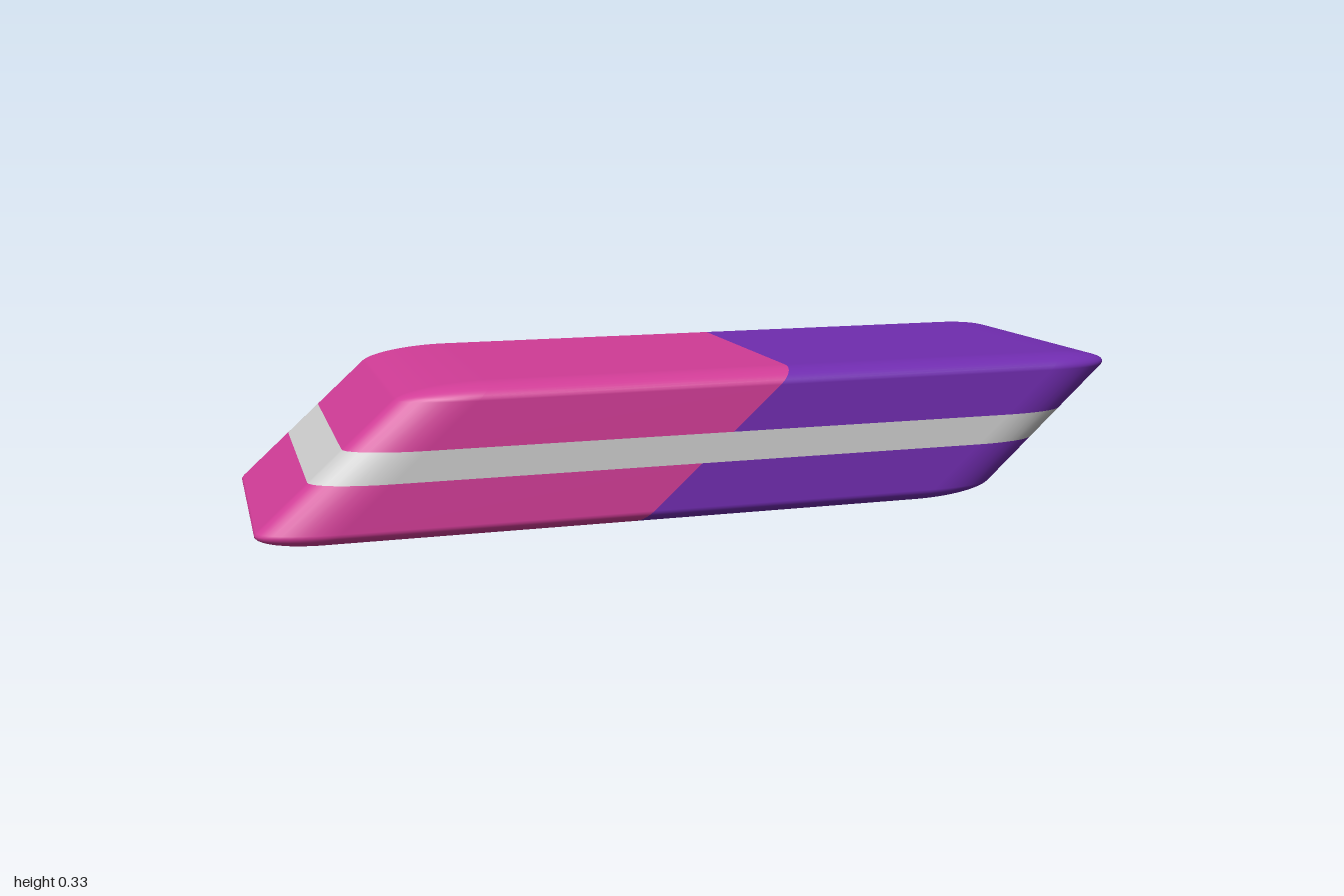
import * as THREE from 'three';

const R = 0.1;            // edge rounding, as a fraction of each side
const STEPS = 10;         // segments per rounded edge
const WIDTH = 0.675, HEIGHT = 0.326, LENGTH = 1.662;

// Unit block -> scaled, slanted lengthwise, turned and set on the ground
function blockMatrix() {
  const slant = new THREE.Matrix4().set(
    1, 0, 0, 0,
    0, 1, 0, 0,
    0, -1.1, 1, 0,
    0, 0, 0, 1);
  return new THREE.Matrix4().makeTranslation(0, HEIGHT / 2, 0)
    .multiply(new THREE.Matrix4().makeRotationY(THREE.MathUtils.degToRad(-25.5)))
    .multiply(slant)
    .multiply(new THREE.Matrix4().makeScale(WIDTH, HEIGHT, LENGTH));
}

// Half outline in plan: [corner x, corner z, angle]
function halfOutline() {
  const c = 0.5 - R, pts = [[c, 0, 0]];
  for (const side of [1, -1]) {
    for (let i = 0; i <= STEPS; i++) {
      pts.push([side * c, c, (i / STEPS + (side > 0 ? 0 : 1)) * Math.PI / 2]);
    }
  }
  pts.push([-c, 0, Math.PI]);
  return pts;
}

// Loft of the half outline through levels of [height, edge angle, inset]
function halfBand(levels) {
  const outline = halfOutline(), n = outline.length;
  const pos = [], nor = [], idx = [];
  for (const [y, phi, inset] of levels) {
    const cp = Math.cos(phi);
    for (const [x, z, a] of outline) {
      pos.push(x * inset + R * cp * Math.cos(a), y, z * inset + R * cp * Math.sin(a));
      nor.push(cp * Math.cos(a), Math.sin(phi), cp * Math.sin(a));
    }
  }
  for (let j = 0; j < levels.length - 1; j++) {
    for (let i = 0; i < n - 1; i++) {
      const a = j * n + i, up = a + n;
      idx.push(a, up, a + 1, a + 1, up, up + 1);
    }
  }
  const g = new THREE.BufferGeometry();
  g.setAttribute('position', new THREE.Float32BufferAttribute(pos, 3));
  g.setAttribute('normal', new THREE.Float32BufferAttribute(nor, 3));
  g.setIndex(idx);
  return g;
}

// Upper levels: straight wall, rounded edge, flat cap to the middle
function upperLevels() {
  const levels = [[0.1, 0, 1]];
  for (let i = 0; i <= STEPS; i++) {
    const phi = (i / STEPS) * Math.PI / 2;
    levels.push([0.5 - R + R * Math.sin(phi), phi, 1]);
  }
  levels.push([0.5, Math.PI / 2, 0]);
  return levels;
}

export function createModel() {
  const group = new THREE.Group();
  group.name = 'eraser';
  const matrix = blockMatrix();
  const upper = upperLevels();
  const lower = upper.map(([y, phi, inset]) => [-y, -phi, inset]).reverse();
  const stripe = [[-0.1, 0, 1], [0.1, 0, 1]];
  const stripeMaterial = new THREE.MeshStandardMaterial({ color: 0xcccccc });

  // Pink front half and purple back half, with the stripe running round both
  const halves = [['pink', 0xd03c96, 0], ['purple', 0x702caf, Math.PI]];
  for (const [name, color, turn] of halves) {
    const half = new THREE.Group();
    half.name = name + 'Half';
    const material = new THREE.MeshStandardMaterial({ color });
    const parts = [['Top', upper, material], ['Stripe', stripe, stripeMaterial], ['Bottom', lower, material]];
    for (const [part, levels, mat] of parts) {
      const mesh = new THREE.Mesh(halfBand(levels).rotateY(turn).applyMatrix4(matrix), mat);
      mesh.name = name + part;
      half.add(mesh);
    }
    group.add(half);
  }
  return group;
}
